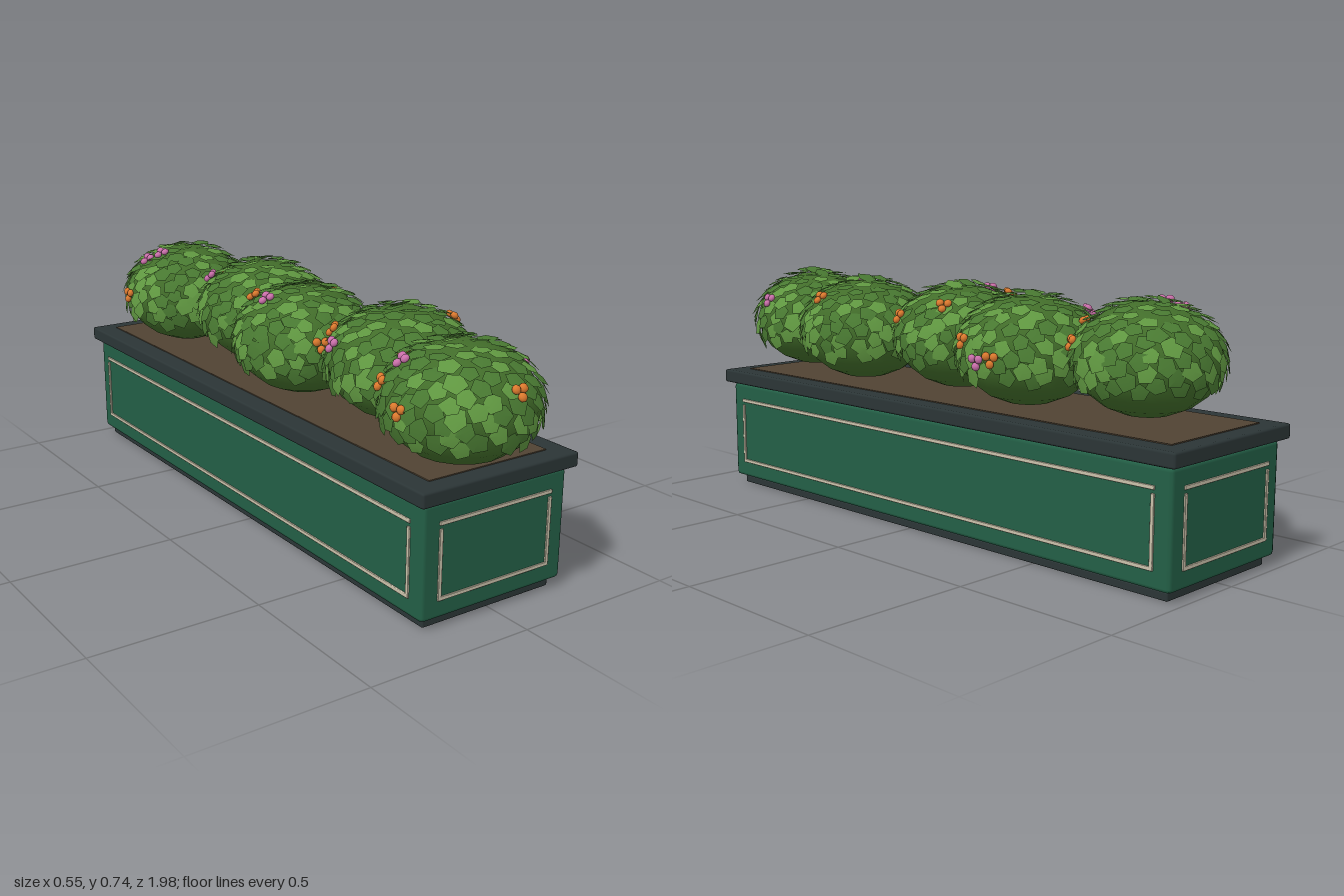
import * as THREE from 'three';
import { mergeGeometries } from 'three/addons/utils/BufferGeometryUtils.js';
import { RoundedBoxGeometry } from 'three/addons/geometries/RoundedBoxGeometry.js';

const mat = (name, color, side = THREE.FrontSide) => {
  const m = new THREE.MeshStandardMaterial({ color, side });
  m.name = name;
  return m;
};

// seeded random numbers, 0 to 1
function seeded(seed) {
  let s = seed;
  return () => (s = (s * 16807) % 2147483647) / 2147483647;
}

const ZC = -0.055; // middle of the planter along z
const CORE = new THREE.Vector3(0.208, 0.16, 0.208); // bush core radii
const SHELL = new THREE.Vector3(0.217, 0.171, 0.217); // leaf layer radii
const BUSH_Y = 0.563;

// point and outward normal on the leaf layer for a unit direction
function onShell(dir) {
  return {
    point: dir.clone().multiply(SHELL),
    normal: dir.clone().divide(SHELL).normalize(),
  };
}

// matrix whose z is the normal and whose y runs up the bush
function surfaceMatrix(point, normal, spin, tilt) {
  const up = Math.abs(normal.y) > 0.98 ? new THREE.Vector3(0, 0, -1) : new THREE.Vector3(0, 1, 0);
  const x = up.cross(normal).normalize();
  const y = normal.clone().cross(x);
  const m = new THREE.Matrix4().makeBasis(x, y, normal).setPosition(point);
  m.multiply(new THREE.Matrix4().makeRotationX(tilt));
  return m.multiply(new THREE.Matrix4().makeRotationZ(spin));
}

export function createModel() {
  const green = mat('panelGreen', 0x235f46);
  const slate = mat('slate', 0x2b3536);
  const cream = mat('creamTrim', 0xcbc2ab);
  const soilMat = mat('soilBrown', 0x504333);
  const coreMat = mat('bushGreen', 0x426d2a);
  const darkLeaf = mat('leafGreen', 0x487831, THREE.DoubleSide);
  const lightLeaf = mat('lightLeafGreen', 0x5f9640, THREE.DoubleSide);
  const orange = mat('orangeBlossom', 0xdd7a2e);
  const pink = mat('pinkBlossom', 0xcb70ab);

  const model = new THREE.Group();
  model.name = 'planter';

  const add = (parent, name, geometry, material) => {
    const mesh = new THREE.Mesh(geometry, material);
    mesh.name = name;
    parent.add(mesh);
    return mesh;
  };
  const box = (name, w, h, d, y, material, r) => {
    const g = r ? new RoundedBoxGeometry(w, h, d, 1, r) : new THREE.BoxGeometry(w, h, d);
    add(model, name, g, material).position.set(0, y, ZC);
  };

  // trough
  box('plinth', 0.44, 0.024, 1.8, 0.012, slate, 0.004);
  box('body', 0.486, 0.324, 1.844, 0.19, green, 0.012);
  box('rim', 0.53, 0.043, 1.886, 0.376, slate, 0.007);
  box('soil', 0.4, 0.008, 1.77, 0.3965, soilMat);

  // trim frame on each of the four faces
  function trimFrame(name, halfWidth) {
    const g = new THREE.Group();
    g.name = name;
    for (const s of [-1, 1]) {
      const h = new RoundedBoxGeometry(halfWidth * 2, 0.011, 0.009, 1, 0.002);
      add(g, 'horizontalTrim', h, cream).position.y = 0.19 + s * 0.105;
      const v = new RoundedBoxGeometry(0.011, 0.196, 0.009, 1, 0.002);
      add(g, 'verticalTrim', v, cream).position.set(s * (halfWidth - 0.0055), 0.182, 0);
    }
    model.add(g);
    return g;
  }
  for (const s of [-1, 1]) {
    const end = trimFrame(s > 0 ? 'frontTrim' : 'backTrim', 0.192);
    end.position.z = ZC + s * 0.922;
    const side = trimFrame(s > 0 ? 'leftTrim' : 'rightTrim', 0.87);
    side.position.set(s * 0.243, 0, ZC);
    side.rotation.y = Math.PI / 2;
  }

  // pentagonal leaf, slightly cupped
  function leafGeometry(r, rand) {
    const g = new THREE.CircleGeometry(r, 5);
    const p = g.attributes.position;
    for (let i = 1; i < 6; i++) {
      const k = 0.85 + rand() * 0.3;
      p.setXYZ(i, p.getX(i) * k, p.getY(i) * k, -0.003);
    }
    p.setXYZ(6, p.getX(1), p.getY(1), p.getZ(1));
    g.computeVertexNormals();
    return g;
  }

  function leaves(seed) {
    const rand = seeded(seed);
    const sets = [[], []];
    const total = 230;
    for (let i = 0; i < total; i++) {
      const y = 1 - (2 * (i + 0.5)) / total;
      if (y < -0.42) break;
      const a = i * 2.39996 + seed + (rand() - 0.5) * 0.12;
      const r = Math.sqrt(1 - y * y);
      const { point, normal } = onShell(new THREE.Vector3(r * Math.sin(a), y, r * Math.cos(a)));
      point.addScaledVector(normal, (rand() - 0.5) * 0.006);
      const m = surfaceMatrix(point, normal, rand() * 6.28, -0.12 - rand() * 0.22);
      const g = leafGeometry(0.026 + rand() * 0.006, rand).applyMatrix4(m);
      sets[rand() < 0.45 ? 1 : 0].push(g);
    }
    return sets.map((s) => mergeGeometries(s));
  }

  // cluster of three little round blossoms
  function blossom(azimuth, height) {
    const y = Math.min(0.97, (height - BUSH_Y) / SHELL.y);
    const r = Math.sqrt(1 - y * y);
    const a = THREE.MathUtils.degToRad(azimuth);
    const { point, normal } = onShell(new THREE.Vector3(r * Math.sin(a), y, r * Math.cos(a)));
    point.addScaledVector(normal, 0.007);
    const balls = [0, 1, 2].map((i) => {
      const t = 0.5 + (i * Math.PI * 2) / 3;
      return new THREE.SphereGeometry(0.0125, 10, 7)
        .scale(1, 1, 0.8)
        .translate(Math.cos(t) * 0.0145, Math.sin(t) * 0.0145, 0);
    });
    return mergeGeometries(balls).applyMatrix4(surfaceMatrix(point, normal, 0, 0));
  }

  // bushes from back to front; blossoms as [azimuth from the front, height]
  const bushes = [
    { orange: [[18, 0.65], [50, 0.61], [-92, 0.58]], pink: [[-92, 0.69], [-78, 0.71]] },
    { orange: [[103, 0.56], [71, 0.6]], pink: [[-127, 0.67], [90, 0.55]] },
    { orange: [[-128, 0.69], [116, 0.67], [64, 0.63], [-21, 0.6]], pink: [[-90, 0.7]] },
    { orange: [[83, 0.67], [-131, 0.65]], pink: [[-106, 0.63]] },
    { orange: [[190, 0.64], [-117, 0.62], [-85, 0.58], [4, 0.635]], pink: [[-110, 0.68], [87, 0.635]] },
  ];
  bushes.forEach((b, i) => {
    const bush = new THREE.Group();
    bush.name = 'bush';
    bush.position.set(i % 2 ? 0.04 : -0.045, BUSH_Y, -0.68 + i * 0.36);
    const core = new THREE.SphereGeometry(1, 16, 10).scale(CORE.x, CORE.y, CORE.z);
    add(bush, 'bushCore', core, coreMat);
    const [dark, light] = leaves(11 + i * 37);
    add(bush, 'leaves', dark, darkLeaf);
    add(bush, 'lightLeaves', light, lightLeaf);
    add(bush, 'orangeBlossoms', mergeGeometries(b.orange.map((p) => blossom(...p))), orange);
    add(bush, 'pinkBlossoms', mergeGeometries(b.pink.map((p) => blossom(...p))), pink);
    model.add(bush);
  });

  return model;
}
